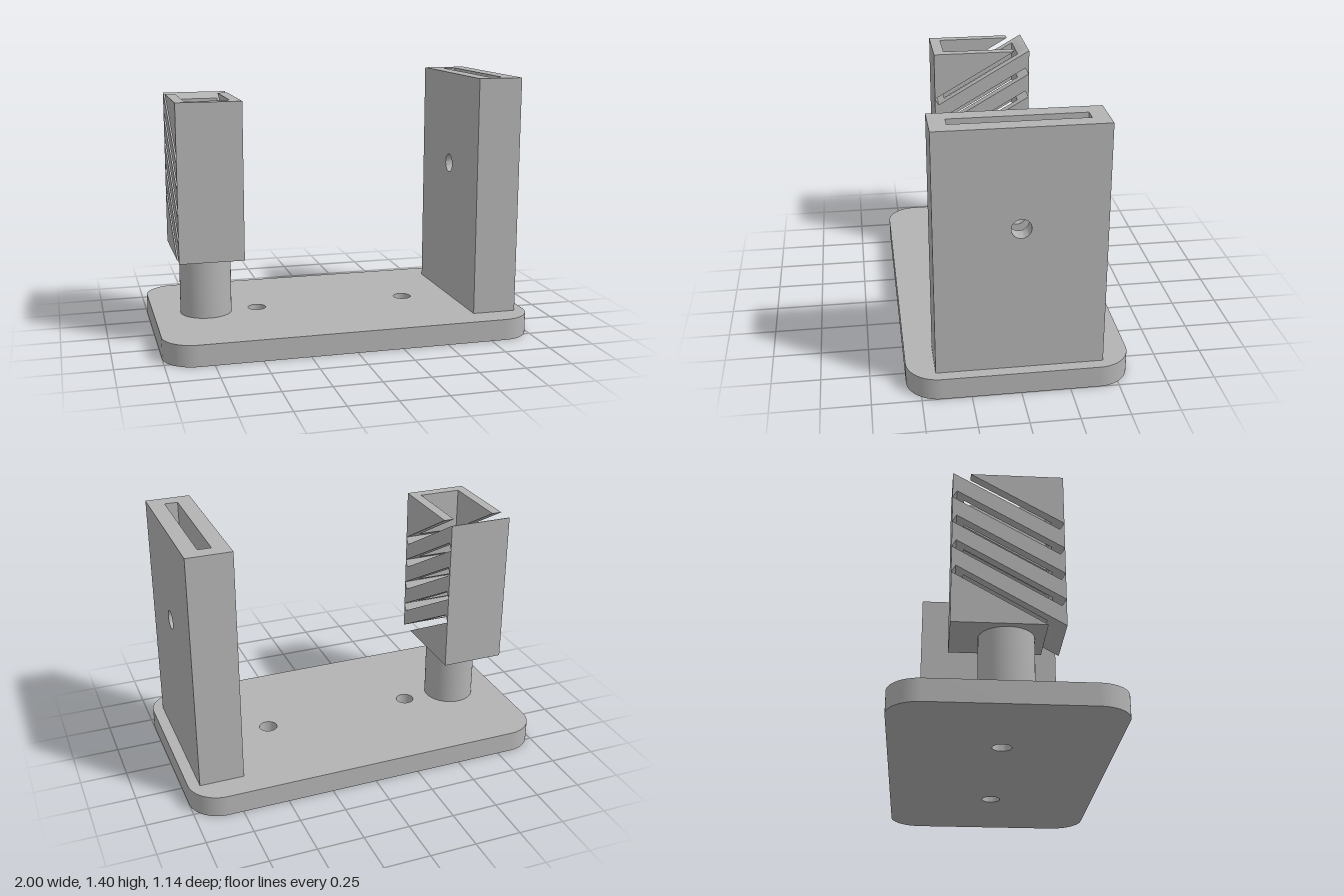
import * as THREE from 'three';
import { toCreasedNormals } from 'three/addons/utils/BufferGeometryUtils.js';

const V = (a, b) => new THREE.Vector2(a, b);
const grey = new THREE.MeshStandardMaterial({ color: 0xb3b3b3 });
grey.name = 'plain grey';

const rect = (a0, b0, a1, b1) => [V(a0, b0), V(a1, b0), V(a1, b1), V(a0, b1)];
const circle = (a, b, r) => new THREE.Path().absarc(a, b, r, 0, Math.PI * 2, true);

function solid(shape, holes, depth) {
  shape.holes.push(...holes);
  return new THREE.ExtrudeGeometry(shape, { depth, bevelEnabled: false, curveSegments: 20 });
}
// Profile in (z, y), swept from x0 to x1
function sweepX(pts, x0, x1, holes = []) {
  return solid(new THREE.Shape(pts), holes, x1 - x0).rotateY(-Math.PI / 2).translate(x1, 0, 0);
}
// Profile in (x, z), swept from y0 to y1
function sweepY(shape, y0, y1, holes = []) {
  return solid(shape, holes, y1 - y0).rotateX(Math.PI / 2).translate(0, y1, 0);
}

export function createModel() {
  const model = new THREE.Group();
  model.name = 'slottedStand';
  const add = (parent, name, geometry) => {
    const mesh = new THREE.Mesh(toCreasedNormals(geometry, 0.6), grey);
    mesh.name = name;
    parent.add(mesh);
  };
  const group = (name) => {
    const g = new THREE.Group();
    g.name = name;
    model.add(g);
    return g;
  };

  // Base with rounded corners and two screw holes
  const baseTop = 0.115, W = 1, D = 0.57, R = 0.17;
  const outline = new THREE.Shape();
  outline.absarc(W - R, D - R, R, 0, Math.PI / 2);
  outline.absarc(-W + R, D - R, R, Math.PI / 2, Math.PI);
  outline.absarc(-W + R, -D + R, R, Math.PI, Math.PI * 1.5);
  outline.absarc(W - R, -D + R, R, Math.PI * 1.5, Math.PI * 2);
  add(model, 'base', sweepY(outline, 0, baseTop, [circle(-0.427, 0, 0.05), circle(0.427, 0, 0.05)]));

  // Tall holder with a narrow pocket and a cross hole
  const holder = group('tallHolder');
  const face = rect(-0.425, baseTop, 0.425, 1.4);
  add(holder, 'holderOuterWall', sweepX(face, 0.855, 0.94, [circle(0, 0.886, 0.05)]));
  add(holder, 'holderInnerWall', sweepX(face, 0.7, 0.785, [circle(0, 0.886, 0.05)]));
  add(holder, 'holderCore', sweepX([
    V(-0.425, baseTop), V(0.425, baseTop), V(0.425, 1.4), V(0.34, 1.4),
    V(0.34, 0.2), V(-0.34, 0.2), V(-0.34, 1.4), V(-0.425, 1.4),
  ], 0.785, 0.855));

  // Hollow post under the vented box
  const cx = -0.7125, y0 = 0.46, y1 = 1.3, mid = 0.88, floorY = 0.51;
  const post = [V(0.073, baseTop), V(0.14, baseTop), V(0.14, y0), V(0.073, y0), V(0.073, baseTop)];
  add(model, 'post', new THREE.LatheGeometry(post, 48).translate(cx, 0, 0));

  // Slanted vents: rising 30 degrees towards the back
  const cos = Math.cos(Math.PI / 6), sin = 0.5, tan = sin / cos;
  const half = 0.31, t = 0.0215, pitch = 0.1429;
  const vent = (k, u, v) => V(-u * cos + v * sin, mid + k * pitch + u * sin + v * cos);
  const edgeY = (k, s, z) => mid + k * pitch + s * t / cos - z * tan;   // s = 1 upper, -1 lower face
  const edgeZ = (k, s, y) => (mid + k * pitch + s * t / cos - y) / tan;
  const turn = (p) => V(-p.x, 2 * mid - p.y); // half turn about the box centre

  const box = group('ventedBox');
  const H = 0.28, I = 0.22, xo = 0.1725, xi = 0.1175;

  // Side walls: three closed vents, the end vents open at top and bottom
  const halfSide = [
    V(H, y1), V(edgeZ(2, 1, y1), y1), vent(2, -half, t), vent(2, -half, -t),
    V(edgeZ(2, -1, y1), y1), V(-H, y1),
  ];
  const side = [...halfSide, ...halfSide.map(turn)];
  const vents = () => [-1, 0, 1].map((k) => new THREE.Path(
    [vent(k, -half, -t), vent(k, -half, t), vent(k, half, t), vent(k, half, -t)]));
  add(box, 'boxLeftWall', sweepX(side, cx + xi, cx + xo, vents()));
  add(box, 'boxRightWall', sweepX(side, cx - xo, cx - xi, vents()));

  // Notches that a vent leaves in the inside of the front wall, top to bottom
  const notches = (ks) => ks.flatMap((k) => [
    V(I, edgeY(k, 1, I)), vent(k, -half, t), vent(k, -half, -t), V(I, edgeY(k, -1, I))]);
  const front = [
    V(H, y0), V(H, y1), V(I, y1), ...notches([2, 1, 0, -1]),
    V(I, floorY), V(edgeZ(-2, 1, floorY), floorY), V(edgeZ(-2, 1, y0), y0),
  ];
  add(box, 'boxFrontWall', sweepX(front, cx - xi, cx + xi));

  const back = [
    V(H, y0), V(H, y1), V(edgeZ(-2, 1, y0), y0), V(I, edgeY(-2, 1, I)),
  ];
  // Back wall is the front wall's notch pattern turned half round
  back.length = 0;
  back.push(V(H, y0), V(H, y1), V(I, y1), ...notches([2, 1, 0, -1]),
    V(I, edgeY(-2, 1, I)), V(edgeZ(-2, 1, y0), y0));
  add(box, 'boxBackWall', sweepX(back.map(turn), cx - xi, cx + xi));

  // Floor with a hole into the post, ending in a slope along the lowest vent
  const slopeZ = edgeZ(-2, -1, floorY);
  add(box, 'boxFloor', sweepY(new THREE.Shape(rect(cx - xi, -I, cx + xi, slopeZ)), y0, floorY,
    [circle(cx, 0, 0.073)]));
  add(box, 'boxFloorSlope', sweepX(
    [V(slopeZ, y0), V(edgeZ(-2, -1, y0), y0), V(slopeZ, floorY)], cx - xi, cx + xi));

  return model;
}
